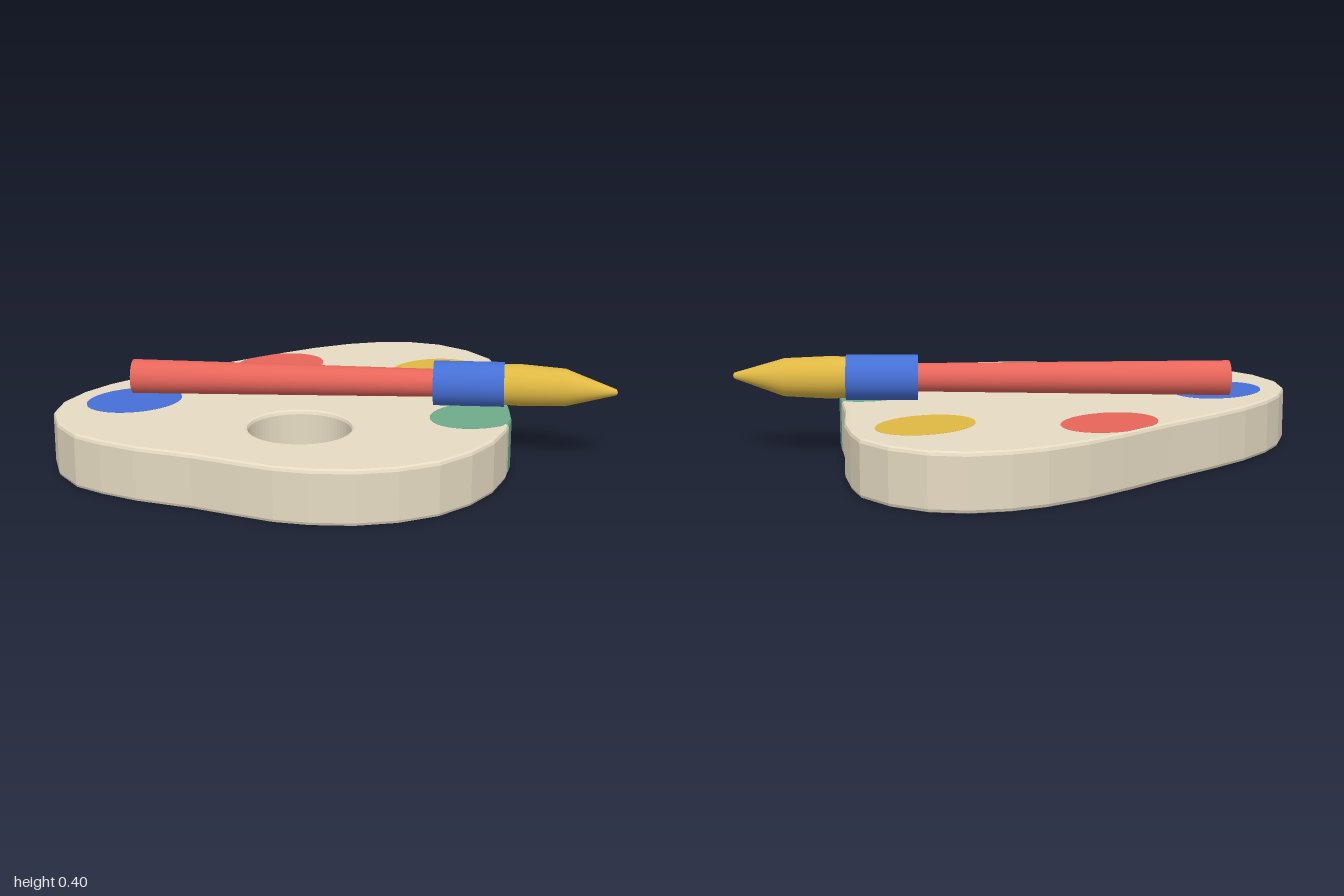
import * as THREE from 'three';
import { mergeVertices } from 'three/addons/utils/BufferGeometryUtils.js';

const HEIGHT = 0.22, BEVEL = 0.015, SKIN = 0.001;

// Right half of the board outline as [x, z], from back centre to front centre
const half = [
  [0, -0.783], [0.26, -0.787], [0.43, -0.782], [0.6, -0.755], [0.73, -0.71], [0.86, -0.63], [0.95, -0.52],
  [1, -0.37], [1, -0.21], [0.95, -0.09], [0.87, 0.05], [0.73, 0.23], [0.62, 0.4], [0.545, 0.51],
  [0.45, 0.605], [0.315, 0.7], [0.165, 0.76], [0, 0.785],
];
const outline = [...half, ...half.slice(1, -1).reverse().map(([x, z]) => [-x, z])];

// Move a path outwards (d > 0) or inwards (d < 0)
function offset(path, d, closed) {
  const n = path.length;
  return path.map(([x, z], i) => {
    const a = path[closed ? (i + n - 1) % n : Math.max(i - 1, 0)];
    const b = path[closed ? (i + 1) % n : Math.min(i + 1, n - 1)];
    const tx = b[0] - a[0], tz = b[1] - a[1], l = Math.hypot(tx, tz);
    return [x + d * tz / l, z - d * tx / l];
  });
}

const toShape = (pts) => new THREE.Shape(pts.map(([x, z]) => new THREE.Vector2(x, -z)));

// Ellipse cut off where it would pass over the board's rim
function clippedEllipse(cx, cz, rx, rz, limit) {
  const pts = [];
  for (let k = 0; k < 72; k++) {
    const a = (k / 72) * Math.PI * 2;
    const dx = rx * Math.cos(a), dz = rz * Math.sin(a);
    let t = 1;
    limit.forEach(([px, pz], i) => {
      const [qx, qz] = limit[(i + 1) % limit.length];
      const ex = qx - px, ez = qz - pz;
      const det = dx * ez - dz * ex;
      if (Math.abs(det) < 1e-9) return;
      const hit = ((px - cx) * ez - (pz - cz) * ex) / det;
      const s = ((px - cx) * dz - (pz - cz) * dx) / det;
      if (hit > 0 && s >= 0 && s <= 1) t = Math.min(t, hit);
    });
    pts.push([cx + dx * t, cz + dz * t]);
  }
  return pts;
}

// Strip that wraps a stretch of the rim, following its rounded bevels
function rimBand(path) {
  const out = 0.002, mid = 0.293 * BEVEL;
  const lower = [[-BEVEL, 0], [out - mid, mid], [out, BEVEL]];
  const upper = lower.map(([d, y]) => [d, HEIGHT - y]).reverse();
  const rows = [...lower, ...upper]
    .map(([d, y]) => offset(path, d, false).map(([x, z]) => [x, y, z]));
  const pos = [];
  for (let j = 0; j < rows.length - 1; j++) {
    for (let i = 0; i < path.length - 1; i++) {
      const a = rows[j][i + 1], b = rows[j][i], c = rows[j + 1][i], d = rows[j + 1][i + 1];
      pos.push(...a, ...b, ...c, ...a, ...c, ...d);
    }
  }
  const g = new THREE.BufferGeometry();
  g.setAttribute('position', new THREE.Float32BufferAttribute(pos, 3));
  g.computeVertexNormals();
  return g;
}

export function createModel() {
  const model = new THREE.Group();
  model.name = 'paintPalette';
  const material = (name, color) => {
    const m = new THREE.MeshStandardMaterial({ color });
    m.name = name;
    return m;
  };
  const beige = material('beige', 0xe6dbc3);
  const red = material('red', 0xe8665b);
  const blue = material('blue', 0x4670d6);
  const yellow = material('yellow', 0xdfb843);
  const green = material('green', 0x6fac8a);
  const add = (parent, name, geometry, mat) => {
    const mesh = new THREE.Mesh(geometry, mat);
    mesh.name = name;
    parent.add(mesh);
    return mesh;
  };

  // Board with bevelled rim and thumb hole
  const shape = toShape(outline);
  const hole = new THREE.Path();
  hole.absarc(-0.22, -0.165, 0.2, 0, Math.PI * 2, false);
  shape.holes.push(hole);
  const board = new THREE.ExtrudeGeometry(shape, {
    depth: HEIGHT - 2 * SKIN - 2 * BEVEL, curveSegments: 32,
    bevelThickness: BEVEL, bevelSize: BEVEL, bevelOffset: -BEVEL, bevelSegments: 2,
  });
  board.translate(0, 0, SKIN + BEVEL).rotateX(-Math.PI / 2);
  add(model, 'board', board, beige);

  // Paint patches on the top and underside
  const limit = offset(outline, -BEVEL, true);
  const patches = [
    ['bluePaint', -0.61, -0.485, blue], ['redPaint', 0.16, -0.622, red],
    ['yellowPaint', 0.68, -0.19, yellow], ['greenPaint', 0.445, 0.42, green],
  ];
  for (const [name, x, z, mat] of patches) {
    const plate = new THREE.ExtrudeGeometry(toShape(clippedEllipse(x, z, 0.2, 0.158, limit)),
      { depth: 2 * SKIN, bevelEnabled: false });
    plate.rotateX(-Math.PI / 2);
    add(model, name + 'Under', plate, mat);
    add(model, name + 'Top', plate, mat).position.y = HEIGHT - 2 * SKIN;
  }
  // Green paint running over the rim
  add(model, 'greenPaintRim', rimBand([[0.635, 0.377], [0.62, 0.4], [0.545, 0.51], [0.48, 0.575]]), green);

  // Brush, built along its own x axis from the handle end
  const brush = new THREE.Group();
  brush.name = 'brush';
  brush.position.set(-0.564, 0.289, -0.583);
  brush.rotation.set(0, -0.688, 0.014, 'YXZ');
  model.add(brush);
  const rod = (r0, r1, x0, x1) =>
    new THREE.CylinderGeometry(r1, r0, x1 - x0, 24).rotateZ(-Math.PI / 2).translate((x0 + x1) / 2, 0, 0);
  add(brush, 'handle', rod(0.07, 0.056, 0, 1.25), red);
  add(brush, 'ferrule', rod(0.09, 0.09, 1.236, 1.518), blue);

  // Bristles taper to a point that bends sideways
  const profile = [[0.08, 1.48], [0.084, 1.58], [0.075, 1.76], [0.012, 1.959], [0, 1.965]];
  let bristles = new THREE.LatheGeometry(profile.map(([r, y]) => new THREE.Vector2(r, y)), 24);
  bristles.rotateZ(-Math.PI / 2);
  const p = bristles.attributes.position;
  for (let i = 0; i < p.count; i++) {
    const t = Math.max(0, (p.getX(i) - 1.518) / 0.435);
    p.setZ(i, p.getZ(i) + 0.056 * Math.pow(t, 2.4));
    p.setY(i, p.getY(i) - 0.005 * t);
  }
  bristles.deleteAttribute('uv');
  bristles.deleteAttribute('normal');
  bristles = mergeVertices(bristles, 1e-5);
  bristles.computeVertexNormals();
  add(brush, 'bristles', bristles, yellow);

  return model;
}
